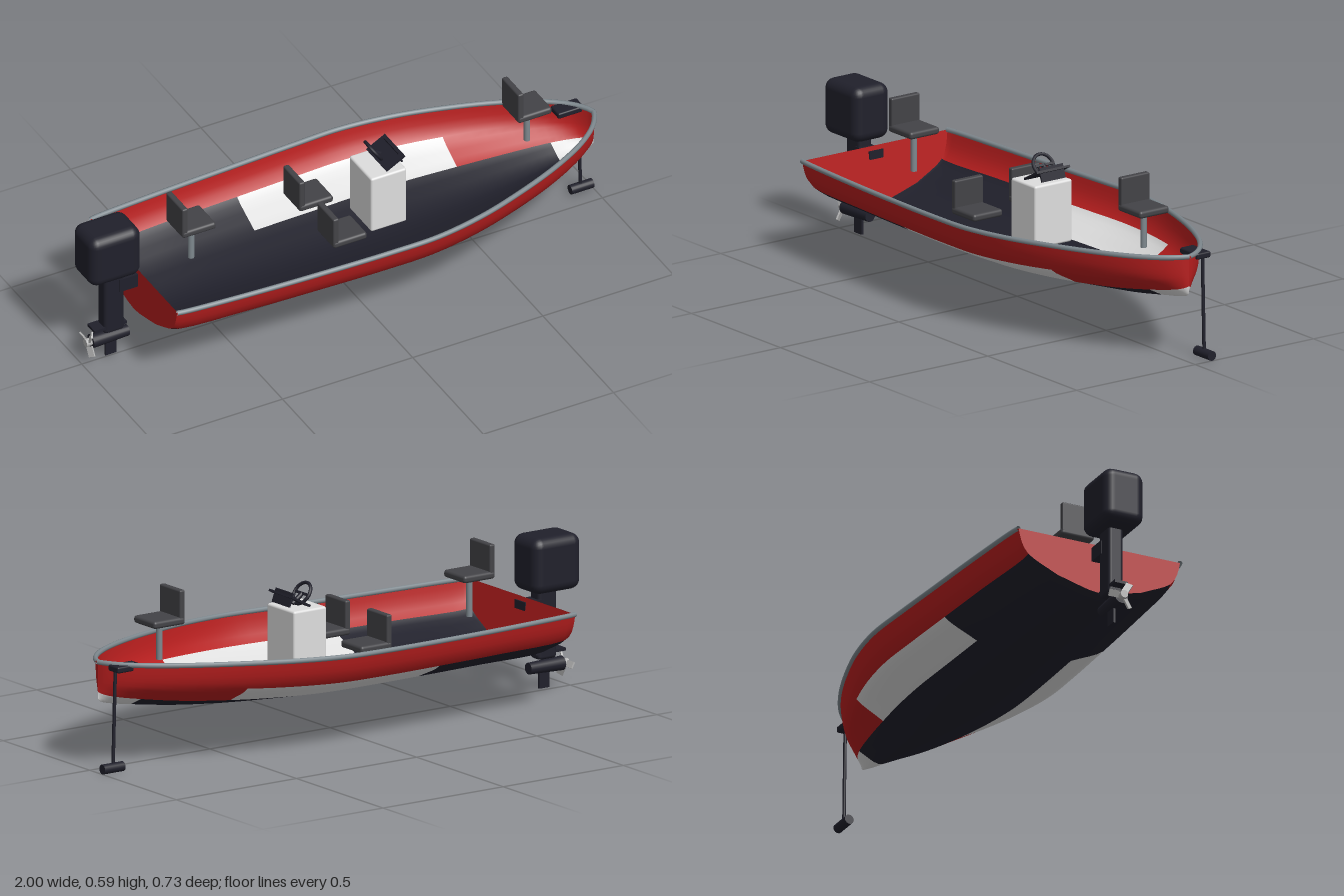
import * as THREE from 'three';
import { RoundedBoxGeometry } from 'three/addons/geometries/RoundedBoxGeometry.js';

const mat = (name, color) => {
  const m = new THREE.MeshStandardMaterial({ color, side: THREE.DoubleSide });
  m.name = name;
  return m;
};
const red = mat('red', 0xb71e1e), dark = mat('dark navy', 0x20202b), white = mat('white', 0xdedede);
const grey = mat('seat grey', 0x434347), rail = mat('rail grey', 0x7e888e), metal = mat('metal', 0xb4b4b4);

// hull stations: x, keel height, rim height, half width at the rim
const STATIONS = [
  [-0.8, 0.163, 0.34, 0.306], [-0.77, 0.145, 0.34, 0.311], [-0.5, 0.142, 0.34, 0.33],
  [-0.24, 0.141, 0.341, 0.342], [0, 0.141, 0.344, 0.351], [0.18, 0.144, 0.348, 0.352],
  [0.36, 0.153, 0.354, 0.325], [0.52, 0.165, 0.36, 0.28], [0.7, 0.185, 0.366, 0.213],
  [0.84, 0.208, 0.37, 0.14], [0.92, 0.223, 0.372, 0.075], [0.955, 0.234, 0.373, 0.027], [0.966, 0.243, 0.373, 0],
];
// half cross-section from keel to rim: width fraction, height fraction
const PROFILE = [
  [0, 0], [0.14, 0.03], [0.28, 0.09], [0.4, 0.145], [0.52, 0.2], [0.62, 0.28], [0.72, 0.355],
  [0.81, 0.43], [0.88, 0.51], [0.935, 0.63], [0.965, 0.75], [0.985, 0.87], [1, 1],
];
const INNER = 4, OUTER = 8, SUB = 4;
const rimCurve = new THREE.CatmullRomCurve3(STATIONS.map(s => new THREE.Vector3(s[0], s[2], s[3])));
const keelCurve = new THREE.CatmullRomCurve3(STATIONS.map(s => new THREE.Vector3(s[0], s[1], 0)));

function gridGeometry(positions, indices) {
  const g = new THREE.BufferGeometry();
  g.setAttribute('position', new THREE.Float32BufferAttribute(positions, 3));
  g.setIndex(indices);
  g.computeVertexNormals();
  return g;
}

// lofted open shell, with one index list for each colour
function hullGeometry() {
  const n = (STATIONS.length - 1) * SUB, last = PROFILE.length - 1, cols = last * 2 + 1;
  const pos = [], lists = [[], [], []], xs = [];
  for (let i = 0; i <= n; i++) {
    const r = rimCurve.getPoint(i / n), k = keelCurve.getPoint(i / n);
    xs.push(r.x);
    for (let j = -last; j <= last; j++) {
      const [w, h] = PROFILE[Math.abs(j)];
      pos.push(r.x, k.y + (r.y - k.y) * h, Math.sign(j) * w * Math.max(r.z, 0));
    }
  }
  for (let i = 0; i < n; i++) {
    const x = (xs[i] + xs[i + 1]) / 2;
    for (let j = 0; j < cols - 1; j++) {
      const ring = j < last ? last - 1 - j : j - last;
      let c = 0;
      if (ring < INNER) c = x > 0.84 ? 2 : 1;
      else if (ring < OUTER) c = x < -0.24 ? 1 : x < 0.52 ? 2 : 0;
      const a = i * cols + j, b = a + cols;
      lists[c].push(a, b, a + 1, b, b + 1, a + 1);
    }
  }
  const g = gridGeometry(pos, lists.flat());
  let start = 0;
  lists.forEach((l, c) => { g.addGroup(start, l.length, c); start += l.length; });
  return g;
}

// plate filling a station's cross-section, its foot shifted along x by lean
function transomGeometry([x, keel, rim, half], lean) {
  const pos = [], idx = [];
  PROFILE.forEach(([w, h], i) => {
    for (const s of [1, -1]) pos.push(x + lean * (1 - h), keel + (rim - keel) * h, s * w * half);
    if (i) { const a = i * 2 - 2; idx.push(a, a + 2, a + 1, a + 1, a + 2, a + 3); }
  });
  return gridGeometry(pos, idx);
}

export function createModel() {
  const model = new THREE.Group();
  model.name = 'boat';
  const add = (name, geo, material, x = 0, y = 0, z = 0, parent = model) => {
    const m = new THREE.Mesh(geo, material);
    m.name = name;
    m.position.set(x, y, z);
    parent.add(m);
    return m;
  };
  const box = (w, h, d, r = 0) => r ? new RoundedBoxGeometry(w, h, d, 3, r) : new THREE.BoxGeometry(w, h, d);
  const cyl = (r, len, r2 = r) => new THREE.CylinderGeometry(r, r2, len, 20);
  const group = name => {
    const g = new THREE.Group();
    g.name = name;
    model.add(g);
    return g;
  };

  // hull, transom and rub rails
  add('hull', hullGeometry(), [red, dark, white]);
  add('transom', transomGeometry(STATIONS[0], 0), red);
  add('transomInside', transomGeometry([-0.797, 0.148, 0.34, 0.305], 0.03), red);
  for (const s of [1, -1]) {
    const pts = STATIONS.map(([x, , y, z]) => new THREE.Vector3(x, y, s * z));
    add('gunwaleRail', new THREE.TubeGeometry(new THREE.CatmullRomCurve3(pts), 80, 0.009, 8), rail);
  }

  // seats: x, cushion centre height, z, pedestal length
  for (const [x, y, z, pole] of [[-0.58, 0.45, 0, 0.135], [0.71, 0.482, 0, 0.125], [-0.065, 0.306, 0.12, 0], [-0.065, 0.306, -0.12, 0]]) {
    const seat = group('seat');
    seat.position.set(x, y, z);
    add('cushion', box(0.13, 0.026, 0.124, 0.01), grey, 0, 0, 0, seat);
    add('backrest', box(0.022, 0.11, 0.12, 0.006), grey, -0.054, 0.052, 0, seat);
    if (pole) add('pedestal', cyl(0.011, pole), rail, 0, -0.012 - pole / 2, 0, seat);
  }

  // steering console
  const helm = group('console');
  add('consoleBox', box(0.137, 0.22, 0.158, 0.008), white, 0.138, 0.34, 0, helm);
  add('dashPanel', box(0.082, 0.008, 0.14), dark, 0.168, 0.478, 0, helm).rotation.z = 0.5;
  add('screen', box(0.006, 0.05, 0.1), dark, 0.196, 0.483, 0, helm).rotation.z = 0.35;
  const wheel = add('steeringWheel', new THREE.TorusGeometry(0.04, 0.006, 8, 28), dark, 0.128, 0.492, -0.015, helm);
  wheel.rotation.set(0, Math.PI / 2, 0.6, 'ZYX');
  add('wheelSpoke', box(0.076, 0.008, 0.008), dark, 0, 0, 0, wheel);
  add('steeringColumn', cyl(0.008, 0.05), dark, 0.147, 0.476, -0.015, helm).rotation.z = 0.95;

  // outboard motor
  const outboard = group('outboardMotor');
  add('cowl', box(0.196, 0.195, 0.15, 0.035), dark, -0.902, 0.449, 0, outboard);
  add('leg', box(0.076, 0.25, 0.055, 0.012), dark, -0.888, 0.238, 0, outboard);
  add('bracket', box(0.08, 0.05, 0.06), dark, -0.83, 0.3, 0, outboard);
  add('cavitationPlate', box(0.125, 0.01, 0.05), dark, -0.902, 0.137, 0, outboard);
  add('gearcase', cyl(0.02, 0.14, 0.025), dark, -0.895, 0.084, 0, outboard).rotation.z = -Math.PI / 2;
  add('skeg', box(0.042, 0.075, 0.008), dark, -0.89, 0.046, 0, outboard);
  add('propellerHub', cyl(0.014, 0.03), metal, -0.972, 0.084, 0, outboard).rotation.z = Math.PI / 2;
  for (let i = 0; i < 3; i++) {
    const blade = group('propellerBlade');
    outboard.add(blade);
    blade.position.set(-0.974, 0.084, 0);
    blade.rotation.x = i * Math.PI * 2 / 3;
    add('bladePlate', box(0.006, 0.024, 0.036), metal, 0, 0, -0.034, blade).rotation.z = 0.5;
  }

  // bow trolling motor
  const troll = group('trollingMotor');
  add('mount', box(0.1, 0.022, 0.058, 0.006), dark, 0.905, 0.361, -0.072, troll);
  add('shaft', cyl(0.006, 0.355), dark, 0.95, 0.195, -0.072, troll).rotation.z = 0.028;
  add('motorPod', cyl(0.017, 0.085), dark, 0.957, 0.018, -0.072, troll).rotation.z = Math.PI / 2;
  return model;
}
